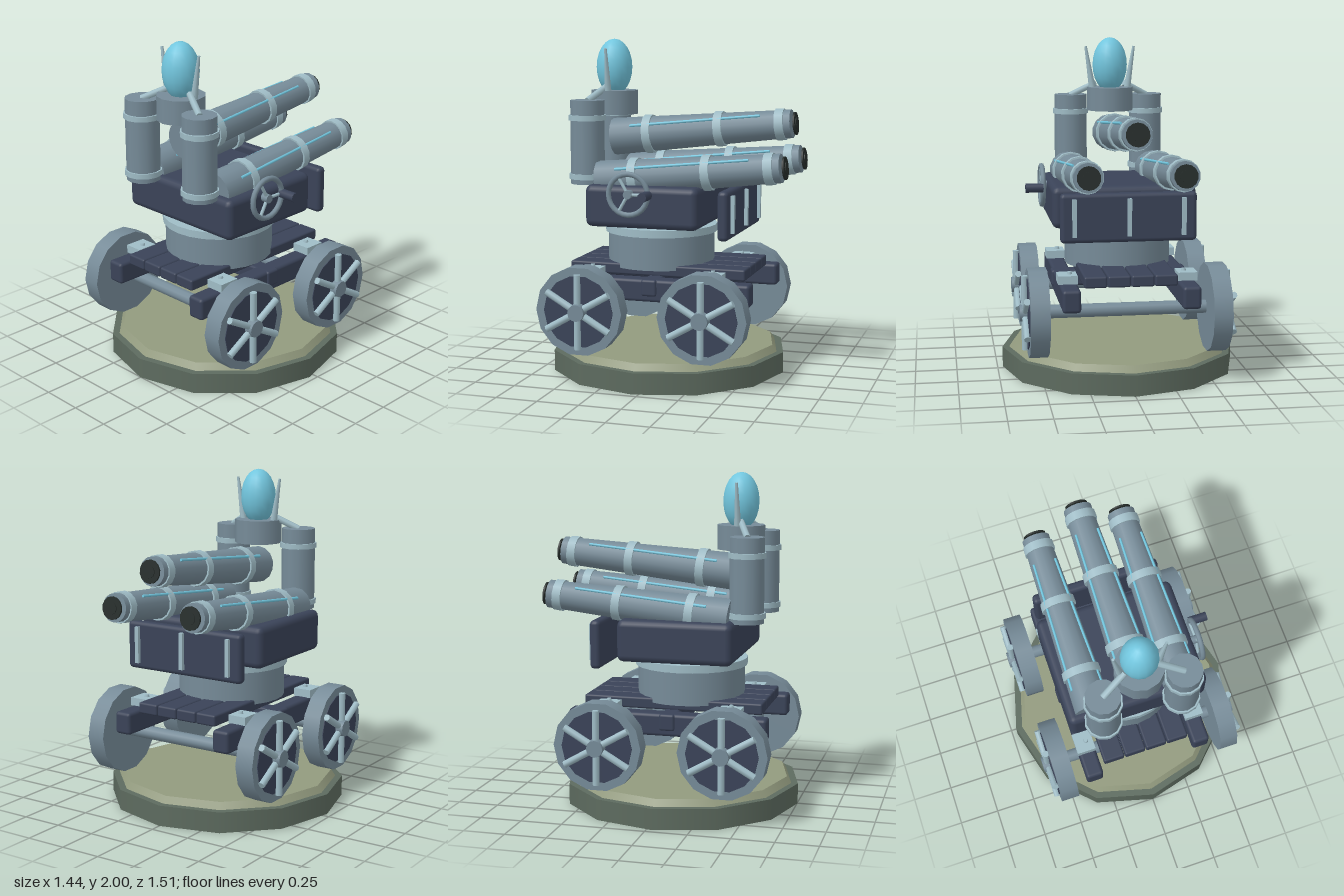
import * as THREE from 'three';
import { RoundedBoxGeometry } from 'three/addons/geometries/RoundedBoxGeometry.js';

const mat = (name, color) => new THREE.MeshStandardMaterial({ name, color });

export function createModel() {
  const root = new THREE.Group();
  root.name = 'tripleCannonCart';
  const steel = mat('steel', 0x768b98);
  const light = mat('paleSteel', 0x9fbcc6);
  const navy = mat('navy', 0x3a4358);
  const cyan = mat('cyan', 0x72c6de);
  const bore = mat('bore', 0x262d2b);
  const stone = mat('baseStone', 0x5d6b5f);
  const moss = mat('baseTop', 0x929a7e);

  function add(parent, name, geo, material, x = 0, y = 0, z = 0) {
    const m = new THREE.Mesh(geo, material);
    m.name = name;
    m.position.set(x, y, z);
    parent.add(m);
    return m;
  }
  // upright cylinder given by its bottom and top heights
  const drum = (parent, name, material, r0, r1, y0, y1, x = 0, z = 0, n = 12) =>
    add(parent, name, new THREE.CylinderGeometry(r1, r0, y1 - y0, n), material, x, (y0 + y1) / 2, z);
  // cylinder between two points
  function rod(parent, name, material, a, b, r0, r1 = r0, n = 8) {
    const p = new THREE.Vector3(...a), q = new THREE.Vector3(...b);
    const d = q.clone().sub(p);
    const m = add(parent, name, new THREE.CylinderGeometry(r1, r0, d.length(), n), material);
    m.position.copy(p).add(q).multiplyScalar(0.5);
    m.quaternion.setFromUnitVectors(new THREE.Vector3(0, 1, 0), d.normalize());
    return m;
  }
  // rounded box given by its lower and upper limits
  const block = (parent, name, material, x0, x1, y0, y1, z0, z1, r = 0.015) =>
    add(parent, name, new RoundedBoxGeometry(x1 - x0, y1 - y0, z1 - z0, 2, r), material,
      (x0 + x1) / 2, (y0 + y1) / 2, (z0 + z1) / 2);

  // display base
  drum(root, 'baseSlab', stone, 0.718, 0.718, 0, 0.125, 0, 0.035);
  drum(root, 'baseTop', moss, 0.68, 0.65, 0.12, 0.165, 0, 0.035);

  // chassis
  for (let i = 0; i < 4; i++) {
    const x = -0.275 + i * 0.138;
    block(root, 'plank', navy, x, x + 0.133, 0.6, 0.668, -0.51, 0.58, 0.012);
  }
  block(root, 'crossBeam', navy, -0.415, 0.415, 0.505, 0.605, -0.01, 0.085);
  for (const s of [-1, 1]) {
    add(root, 'sideRail', new RoundedBoxGeometry(0.108, 0.135, 1.2, 2, 0.02), navy, s * 0.35, 0.537, 0.03);
    for (const z of [0.41, -0.335]) {
      add(root, 'railPlate', new THREE.BoxGeometry(0.115, 0.05, 0.13), light, s * 0.355, 0.628, z);
      drum(root, 'plateBolt', light, 0.016, 0.012, 0.65, 0.668, s * 0.34, z, 8);
    }
  }

  // wheels and axles
  function wheel(s, z) {
    const g = new THREE.Group();
    g.name = 'wheel';
    g.position.set(s * 0.53, 0.4275, z);
    g.rotation.z = -s * Math.PI / 2;
    drum(g, 'wheelRim', steel, 0.265, 0.265, -0.055, 0.057, 0, 0, 14);
    drum(g, 'wheelFace', navy, 0.214, 0.214, 0.055, 0.062, 0, 0, 14);
    drum(g, 'wheelHub', steel, 0.057, 0.05, 0.05, 0.105, 0, 0, 12);
    for (let i = 0; i < 6; i++) {
      const a = i * Math.PI / 3;
      rod(g, 'wheelSpoke', light, [Math.cos(a) * 0.04, 0.073, Math.sin(a) * 0.04],
        [Math.cos(a) * 0.222, 0.073, Math.sin(a) * 0.222], 0.021);
    }
    root.add(g);
  }
  for (const z of [0.41, -0.335]) {
    rod(root, 'axle', steel, [-0.5, 0.43, z], [0.5, 0.43, z], 0.04, 0.04, 10);
    wheel(1, z);
    wheel(-1, z);
  }

  // turntable and gun body
  drum(root, 'turntable', steel, 0.325, 0.325, 0.64, 0.845, 0, 0.087, 24);
  drum(root, 'turntableRing', light, 0.342, 0.342, 0.84, 0.885, 0, 0.087, 24);
  block(root, 'gunBody', navy, -0.43, 0.43, 0.905, 1.155, -0.265, 0.428, 0.04);
  block(root, 'rearShield', navy, -0.4, 0.4, 0.85, 1.14, -0.437, -0.372, 0.025);
  for (const x of [-0.32, 0, 0.32])
    add(root, 'shieldStrap', new THREE.BoxGeometry(0.025, 0.22, 0.025), light, x, 1.0, -0.446);

  // barrels, built along local y
  function barrel(x, y) {
    const g = new THREE.Group();
    g.name = 'barrel';
    g.position.set(x, y, 0.385);
    g.rotation.x = -Math.PI / 2 + 0.093;
    drum(g, 'barrelTube', steel, 0.113, 0.084, 0, 1.08, 0, 0, 14);
    drum(g, 'muzzle', steel, 0.085, 0.085, 1.06, 1.112, 0, 0, 14);
    for (const [l, r, h] of [[0.23, 0.118, 0.05], [0.675, 0.107, 0.05], [1.045, 0.095, 0.052]])
      drum(g, 'barrelBand', light, r, r - 0.002, l - h / 2, l + h / 2, 0, 0, 14);
    drum(g, 'boreDisc', bore, 0.068, 0.068, 1.126, 1.137, 0, 0, 14);
    drum(g, 'boreCore', bore, 0.036, 0.036, 1.121, 1.142, 0, 0, 14);
    for (const s of [-1, 1])
      rod(g, 'glowStrip', cyan, [s * 0.09, 0.13, 0.062], [s * 0.067, 0.935, 0.064], 0.009, 0.008, 6);
    root.add(g);
  }
  barrel(0, 1.405);
  barrel(0.272, 1.17);
  barrel(-0.272, 1.17);

  // upright canisters with pipes and prongs
  for (const s of [-1, 1]) {
    const x = s * 0.24, z = 0.475;
    drum(root, 'canister', steel, 0.103, 0.103, 1.14, 1.64, x, z);
    for (const y of [1.17, 1.52])
      drum(root, 'canisterBand', light, 0.113, 0.113, y, y + 0.032, x, z);
    rod(root, 'feedPipe', light, [s * 0.24, 1.635, 0.475], [s * 0.09, 1.715, 0.405], 0.02);
    rod(root, 'prong', light, [s * 0.11, 1.68, 0.39], [s * 0.152, 1.945, 0.39], 0.022, 0.008);
  }

  // central cup and energy egg
  drum(root, 'eggCup', steel, 0.145, 0.145, 1.545, 1.69, 0, 0.388);
  const egg = add(root, 'energyEgg', new THREE.SphereGeometry(0.109, 16, 12), cyan, 0, 1.83, 0.388);
  egg.scale.y = 1.56;

  // aiming handwheel
  const hw = new THREE.Group();
  hw.name = 'handwheel';
  hw.position.set(0.457, 1.11, 0.145);
  add(hw, 'handwheelRim', new THREE.TorusGeometry(0.12, 0.016, 8, 24), steel).rotation.y = Math.PI / 2;
  rod(hw, 'handwheelShaft', steel, [-0.04, 0, 0], [0.018, 0, 0], 0.026, 0.026, 10);
  for (let i = 0; i < 3; i++) {
    const a = Math.PI + i * Math.PI * 2 / 3;
    rod(hw, 'handwheelSpoke', light, [0, 0, 0], [0, Math.sin(a) * 0.12, Math.cos(a) * 0.12], 0.01);
  }
  rod(hw, 'handwheelGrip', navy, [0, 0, -0.12], [0.108, 0, -0.12], 0.028, 0.028, 10);
  root.add(hw);

  return root;
}
